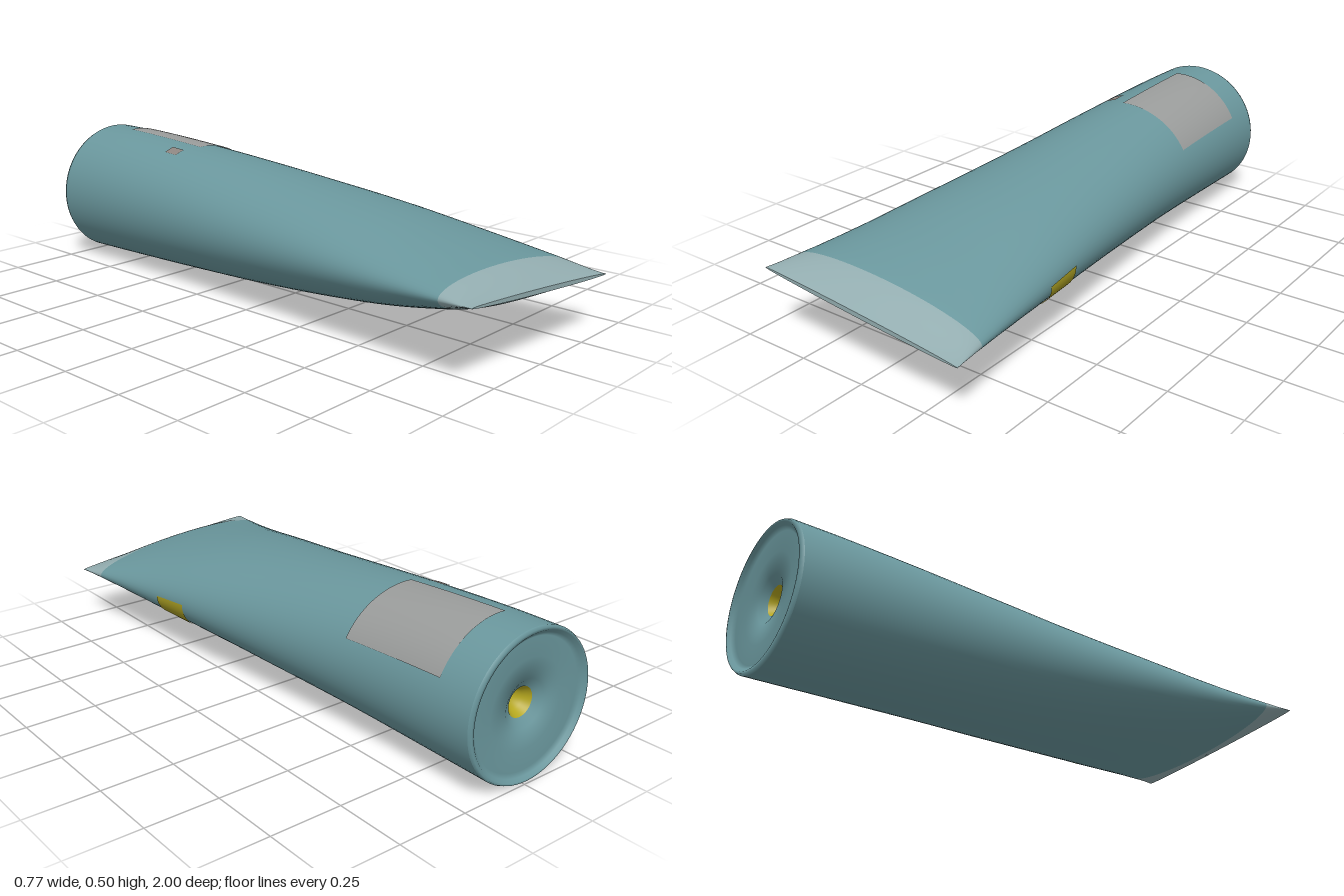
import * as THREE from 'three';
import { ParametricGeometry } from 'three/addons/geometries/ParametricGeometry.js';

// Stations along the tube: z -> half width, top y, bottom y, centre x
const stations = [
  [-1.0, 0.255, 0.505, 0.006, -0.012],
  [-0.8, 0.26, 0.502, 0.012, -0.012],
  [-0.4, 0.272, 0.48, 0.027, -0.012],
  [0.0, 0.295, 0.445, 0.048, -0.008],
  [0.4, 0.328, 0.4, 0.085, -0.004],
  [0.6, 0.345, 0.367, 0.113, -0.002],
  [0.8, 0.363, 0.326, 0.155, 0],
  [0.9, 0.373, 0.298, 0.184, 0],
  [1.0, 0.384, 0.249, 0.233, 0],
];
const section = new THREE.CubicInterpolant(
  stations.map((s) => s[0]), stations.flatMap((s) => s.slice(1)), 4);

// Point on the tube: angle a around the axis, r scales the section, lift raises it off the skin
function skin(a, z, target, r = 1, lift = 0, zOut = z) {
  const [halfW, top, bottom, cx] = section.evaluate(z);
  const x = Math.cos(a) * (halfW * r + lift);
  const y = Math.sin(a) * (((top - bottom) / 2) * r + lift);
  // the flattened end is twisted slightly, so its right-hand corner sits higher
  const twist = -0.1 * ((z + 1) / 2) ** 2;
  return target.set(cx + x, (top + bottom) / 2 + y + x * twist, zOut);
}

function part(name, color, fn, slices, stacks, side = THREE.FrontSide) {
  const mesh = new THREE.Mesh(
    new ParametricGeometry(fn, slices, stacks),
    new THREE.MeshStandardMaterial({ color, side }));
  mesh.name = name;
  return mesh;
}

// Length of skin between two z positions
const sleeve = (name, color, z0, z1, stacks) =>
  part(name, color, (u, v, t) => skin(u * Math.PI * 2, z0 + (z1 - z0) * v, t), 72, stacks);

// Thin printed area following the skin, angles in degrees
const patch = (name, color, a0, a1, z0, z1) =>
  part(name, color, (u, v, t) => skin(
    THREE.MathUtils.degToRad(a0 + (a1 - a0) * u), z0 + (z1 - z0) * v, t, 1, 0.003),
  16, 12, THREE.DoubleSide);

// Disc built from a radial profile of [radius scale, z], centre first
function disc(name, color, profile) {
  const n = profile.length - 1;
  return part(name, color, (u, v, t) => {
    const i = Math.min(n - 1, Math.floor(v * n));
    const f = v * n - i;
    const r = THREE.MathUtils.lerp(profile[i][0], profile[i + 1][0], f);
    const z = THREE.MathUtils.lerp(profile[i][1], profile[i + 1][1], f);
    return skin(u * Math.PI * 2, -0.985, t, r, 0, z);
  }, 72, n);
}

export function createModel() {
  const teal = 0x6a979d;
  const group = new THREE.Group();
  group.name = 'squeezeTube';

  // Tapering body and the pressed, paler end
  group.add(sleeve('body', teal, -0.985, 0.88, 60));
  group.add(sleeve('crimpedEnd', 0x93adb0, 0.88, 1, 14));
  group.add(part('sealEdge', 0x93adb0,
    (u, v, t) => skin(u * Math.PI * 2, 1, t, 1 - 0.998 * v), 72, 2));

  // Round end: rolled rim, shallow recess and a dimple in the middle
  group.add(disc('endCap', teal, [
    [0.2, -0.95], [0.32, -0.968], [0.6, -0.975], [0.86, -0.977],
    [0.91, -0.988], [0.95, -0.997], [0.98, -0.996], [1, -0.985]]));
  group.add(disc('nozzleHollow', 0xb5a71f, [
    [0.002, -0.89], [0.08, -0.9], [0.14, -0.925], [0.2, -0.95]]));

  // Printed areas
  group.add(patch('label', 0x9a9c9b, 26, 95, -0.85, -0.45));
  group.add(patch('sidePatch', 0xa59a22, -30, 2, 0.36, 0.51));
  group.add(patch('spot', 0x8d8580, 107, 116, -0.54, -0.48));
  return group;
}
